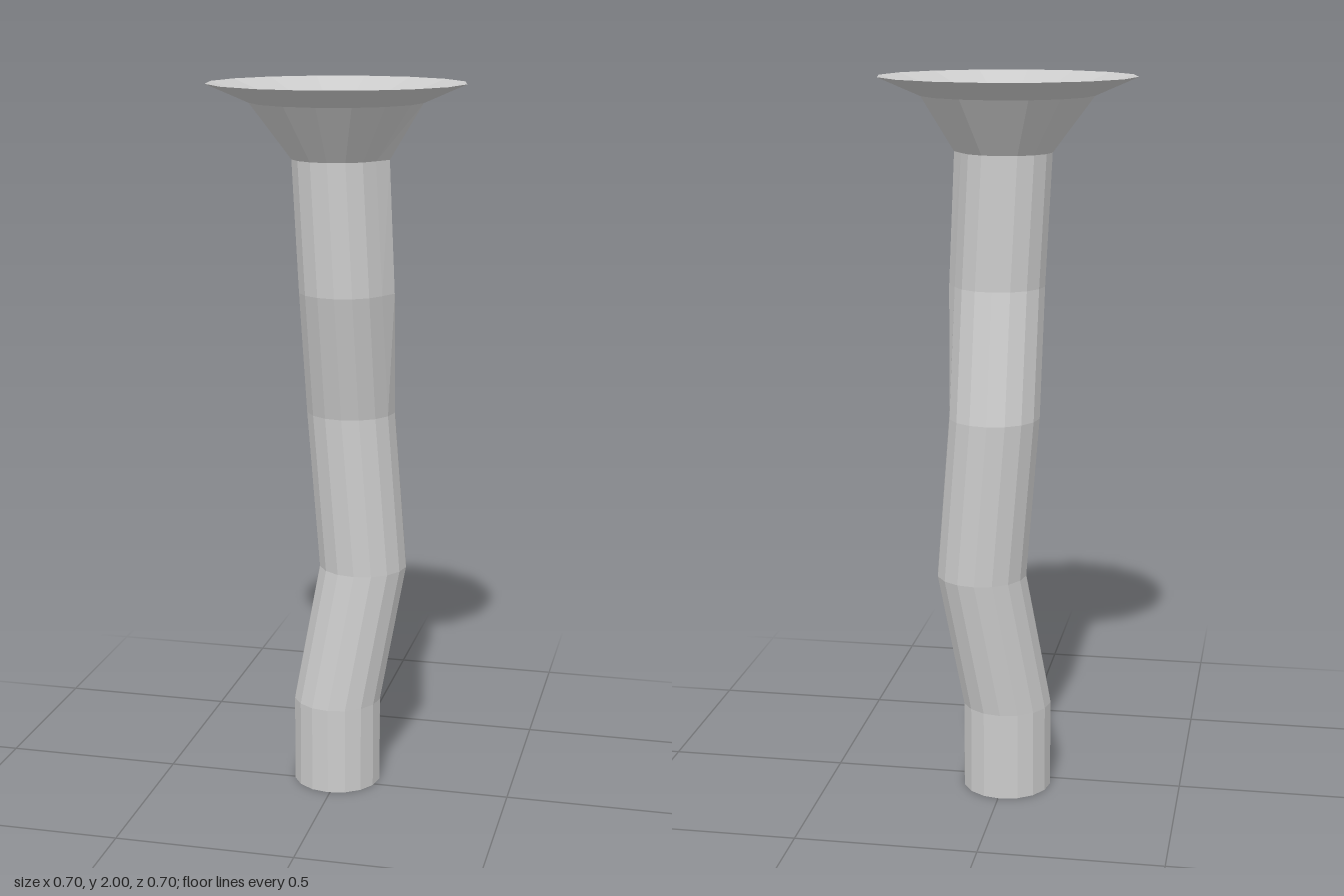
import * as THREE from 'three';

const SIDES = 16;

// Skin a stack of level rings [y, centreX, centreZ, radius, extra reach on +x]
function loft(rings, capStart, capEnd) {
  const pos = [], index = [];
  for (const [y, cx, cz, r, reach = 0] of rings) {
    for (let i = 0; i < SIDES; i++) {
      const a = (i / SIDES) * Math.PI * 2;
      pos.push(cx + Math.cos(a) * r + (i === 0 ? reach : 0), y, cz - Math.sin(a) * r);
    }
  }
  for (let k = 0; k < rings.length - 1; k++) {
    for (let i = 0; i < SIDES; i++) {
      const j = (i + 1) % SIDES;
      const a = k * SIDES + i, b = k * SIDES + j;
      index.push(a, b, b + SIDES, a, b + SIDES, a + SIDES);
    }
  }
  const last = (rings.length - 1) * SIDES;
  for (let i = 1; i < SIDES - 1; i++) {
    if (capStart) index.push(0, i + 1, i);
    if (capEnd) index.push(last, last + i, last + i + 1);
  }
  const geo = new THREE.BufferGeometry();
  geo.setAttribute('position', new THREE.Float32BufferAttribute(pos, 3));
  geo.setIndex(index);
  const flat = geo.toNonIndexed();
  flat.computeVertexNormals();
  return flat;
}

export function createModel() {
  const group = new THREE.Group();
  const material = new THREE.MeshStandardMaterial({ color: 0xcccccc, flatShading: true });

  function add(name, geometry) {
    const mesh = new THREE.Mesh(geometry, material);
    mesh.name = name;
    group.add(mesh);
  }

  // Crooked stem, bending at each ring
  add('stem', loft([
    [0, -0.006, -0.04, 0.125],
    [0.25, -0.006, -0.04, 0.125],
    [0.64, 0.058, -0.086, 0.125],
    [1.09, 0.022, -0.086, 0.125],
    [1.44, 0.02, -0.008, 0.125, 0.015],
    [1.8, 0.002, -0.003, 0.125, 0.018],
  ], true, false));

  // Flared cup: outside wall, sharp rim, inside wall, flat floor
  add('cup', loft([
    [1.8, 0.002, -0.003, 0.125, 0.018],
    [1.95, 0, 0, 0.235],
    [2, 0, 0, 0.35],
    [1.955, 0, 0, 0.21],
    [1.87, 0, 0, 0.08],
  ], false, true));

  return group;
}
